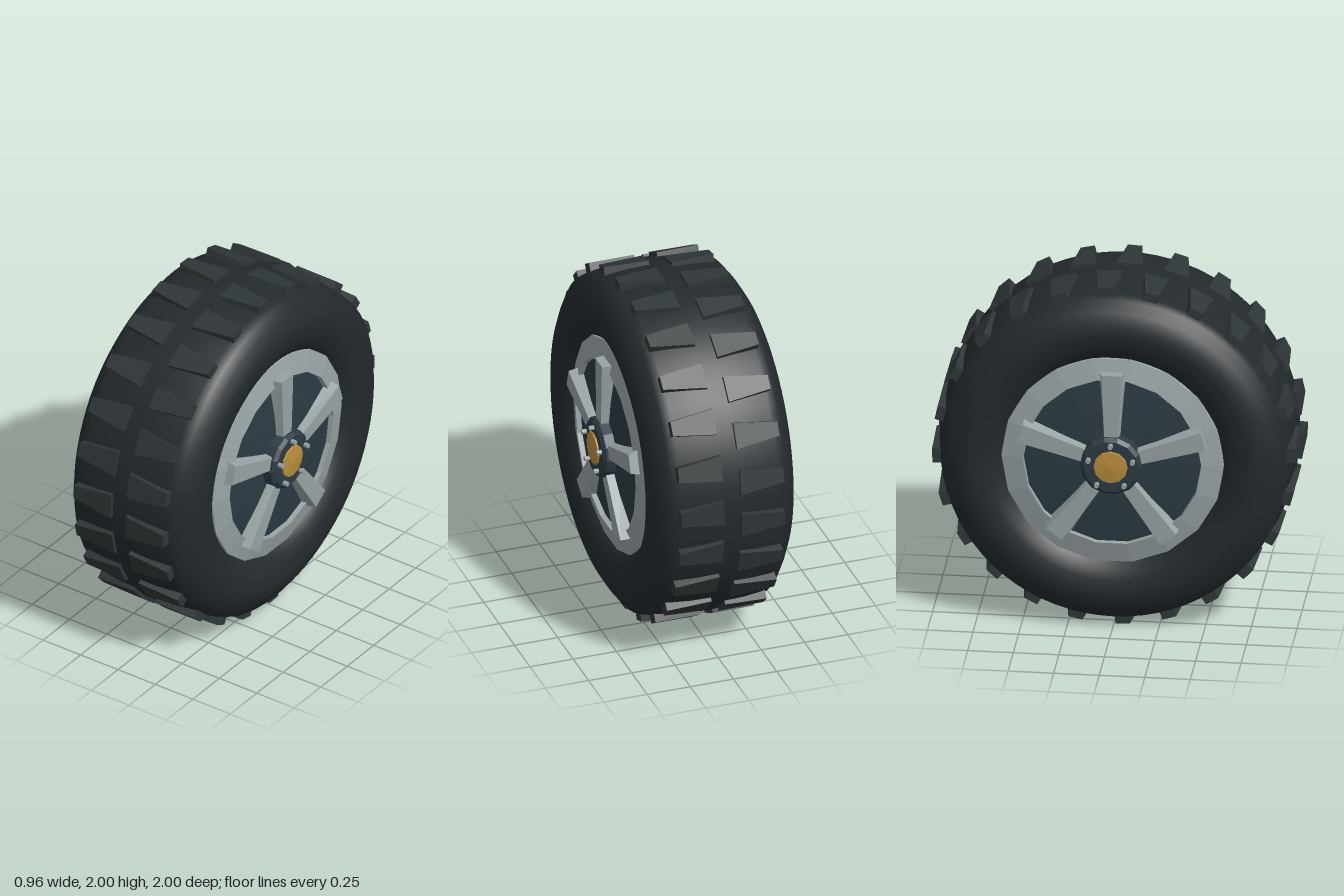
import * as THREE from 'three';

const mat = (color, flat = true) => new THREE.MeshStandardMaterial({ color, flatShading: flat });
const RUBBER = mat(0x23292d, false);
const TREAD = mat(0x2f3638);
const METAL = mat(0x98a2a4);
const DARK = mat(0x2c3a43);
const BRASS = mat(0xb98d3c);

function add(parent, name, geometry, material) {
  const mesh = new THREE.Mesh(geometry, material);
  mesh.name = name;
  parent.add(mesh);
  return mesh;
}

// Solid of revolution around x, from [radius, x] pairs
function turned(profile, sides) {
  const points = profile.map(([r, x]) => new THREE.Vector2(r, x));
  return new THREE.LatheGeometry(points, sides).rotateZ(-Math.PI / 2);
}

// Box whose corners are moved by a rule
function shapedBox(w, h, d, rule) {
  const geometry = new THREE.BoxGeometry(w, h, d);
  const p = geometry.attributes.position;
  const v = new THREE.Vector3();
  for (let i = 0; i < p.count; i++) {
    rule(v.fromBufferAttribute(p, i));
    p.setXYZ(i, v.x, v.y, v.z);
  }
  geometry.computeVertexNormals();
  return geometry;
}

function makeTyre() {
  const half = [[0.978, 0.06], [0.972, 0.16], [0.955, 0.28], [0.94, 0.335], [0.885, 0.375],
    [0.82, 0.412], [0.76, 0.413], [0.7, 0.402], [0.65, 0.38], [0.61, 0.35], [0.58, 0.31]];
  const mirrored = half.map(([r, x]) => [r, -x]).reverse();
  return turned([...mirrored, ...half], 72);
}

// Everything on the +x face of the wheel
function makeFace() {
  const face = new THREE.Group();
  face.name = 'wheelFace';
  add(face, 'rimRing', turned([[0.615, 0.335], [0.61, 0.355], [0.49, 0.385], [0.485, 0.34]], 18), METAL);
  add(face, 'wheelDisc', turned([[0.5, 0.355], [0.3, 0.375], [0, 0.39]], 18), DARK);
  add(face, 'hub', turned([[0.175, 0.36], [0.17, 0.435], [0.15, 0.453], [0, 0.453]], 14), DARK);
  add(face, 'hubCap', turned([[0.095, 0.45], [0.092, 0.462], [0, 0.471]], 12), BRASS);

  // Spokes widen outwards and have bevelled flanks
  const spoke = shapedBox(0.08, 0.41, 0.14, (v) => {
    const outer = v.y > 0, top = v.x > 0;
    v.z = Math.sign(v.z) * (outer ? 0.075 : 0.05) * (top ? 0.72 : 1);
    v.x = top ? 0.425 : 0.345;
    v.y = outer ? 0.53 : 0.12;
  });
  const bolt = new THREE.CylinderGeometry(0.014, 0.014, 0.035, 8).rotateZ(-Math.PI / 2).translate(0.463, 0.128, 0);
  for (let i = 0; i < 5; i++) {
    const angle = (i * Math.PI * 2) / 5;
    add(face, 'spoke', spoke, METAL).rotation.x = angle;
    add(face, 'bolt', bolt, METAL).rotation.x = angle;
  }
  return face;
}

export function createModel() {
  const model = new THREE.Group();
  model.name = 'wheel';
  const wheel = new THREE.Group();
  wheel.name = 'wheelAssembly';
  wheel.position.y = 1;
  model.add(wheel);

  add(wheel, 'tyre', makeTyre(), RUBBER);

  // Two staggered rows of tread blocks, narrower towards the shoulder
  const count = 24, step = (Math.PI * 2) / count, stagger = THREE.MathUtils.degToRad(2.8);
  for (const side of [1, -1]) {
    const block = shapedBox(0.25, 0.055, 0.15, (v) => {
      if (v.x * side > 0) v.z *= 0.55;
      if (v.y > 0) v.z *= 0.96;
      v.x += side * 0.175;
      v.y += 0.97;
    });
    for (let i = 0; i < count; i++) {
      add(wheel, 'treadBlock', block, TREAD).rotation.x = i * step + side * stagger;
    }
  }

  // The same face on both sides
  const face = makeFace();
  const otherFace = face.clone();
  otherFace.rotation.y = Math.PI;
  wheel.add(face, otherFace);
  return model;
}
